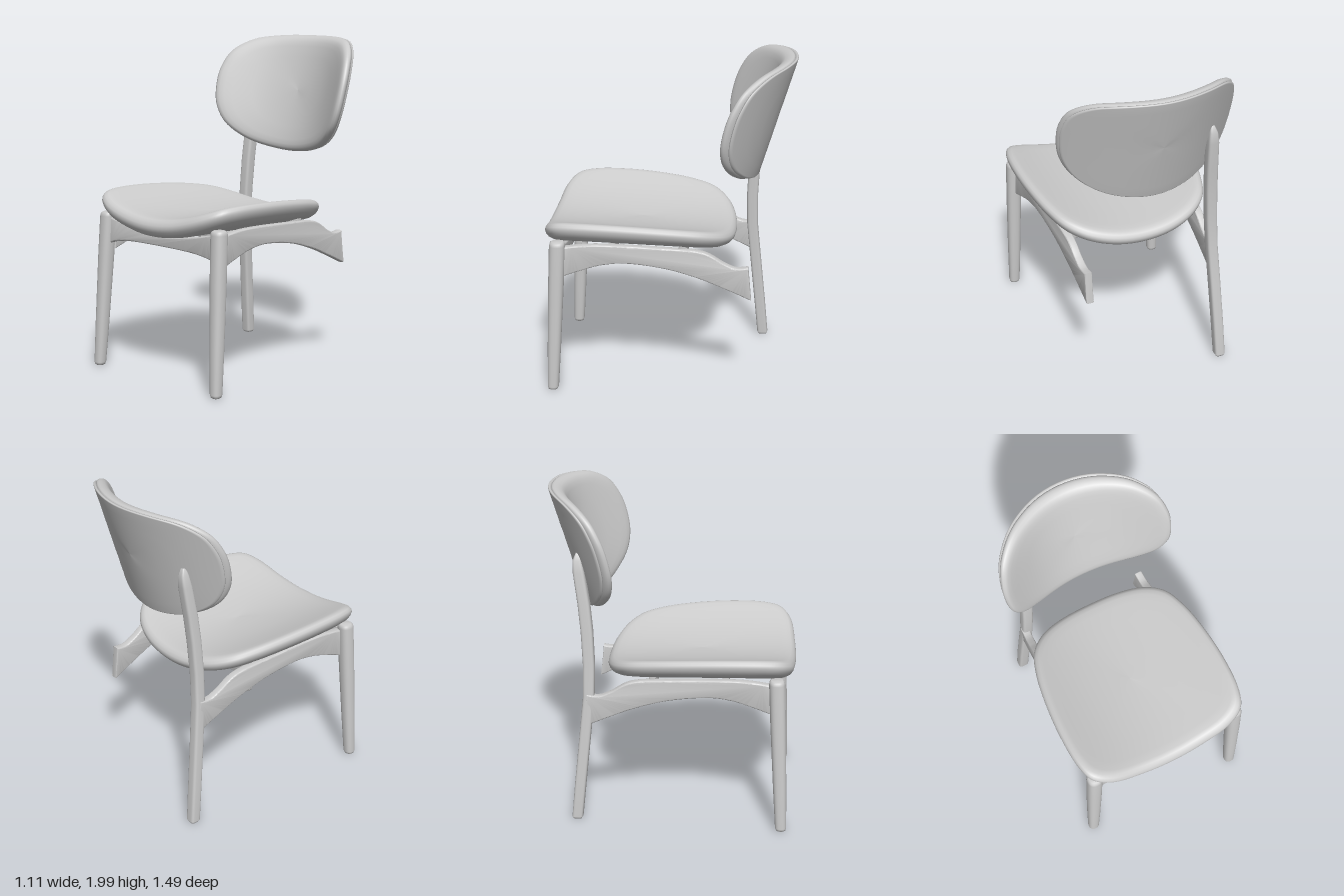
import * as THREE from 'three';
import { toCreasedNormals } from 'three/addons/utils/BufferGeometryUtils.js';

const paleGrey = new THREE.MeshStandardMaterial({ color: 0xcccccc });

// Skin a list of rings (each a closed loop of Vector3, counter-clockwise about the loft direction)
function loft(rings) {
  const n = rings[0].length, index = [];
  for (let r = 0; r < rings.length - 1; r++) {
    for (let i = 0; i < n; i++) {
      const j = (i + 1) % n, a = r * n + i, b = r * n + j;
      index.push(a, b, b + n, a, b + n, a + n);
    }
  }
  const geo = new THREE.BufferGeometry().setFromPoints(rings.flat());
  geo.setIndex(index);
  geo.computeVertexNormals();
  return geo;
}

// Mirror half an outline (bottom to top, x >= 0) and smooth it into a closed loop
function outline(half) {
  const other = half.slice(1, -1).reverse().map(([x, y]) => [-x, y]);
  const pts = [...half, ...other].map(([x, y]) => new THREE.Vector3(x, y, 0));
  return new THREE.CatmullRomCurve3(pts, true).getPoints(112).slice(0, -1);
}

// Padded slab: profile of [outline scale, height], bent into place by a rule
function pad(loop, centreY, profile, place) {
  return loft(profile.map(([s, t]) =>
    loop.map(p => place(p.x * s, centreY + (p.y - centreY) * s, t))));
}

// Leg through [x, y, z, halfWidth] stations; power 2 is round, higher is squarer
function leg(stations, power) {
  const n = 28, e = 2 / power;
  const soft = v => Math.sign(v) * Math.pow(Math.abs(v), e);
  return loft(stations.map(([x, y, z, r]) => Array.from({ length: n }, (_, i) => {
    const a = (i / n) * Math.PI * 2;
    return new THREE.Vector3(x + r * soft(Math.cos(a)), y, z - r * soft(Math.sin(a)));
  })));
}

// Board cut between a lower and an upper curve, with softened edges
function board(lower, upper, thickness) {
  const v = list => list.map(([x, y]) => new THREE.Vector2(x, y));
  const shape = new THREE.Shape();
  shape.moveTo(...lower[0]);
  shape.splineThru(v(lower.slice(1)));
  shape.lineTo(...upper[0]);
  shape.splineThru(v(upper.slice(1)));
  const bevel = 0.008;
  const geo = new THREE.ExtrudeGeometry(shape, {
    depth: thickness - 2 * bevel, curveSegments: 24, bevelEnabled: true,
    bevelSize: bevel, bevelThickness: bevel, bevelOffset: -bevel, bevelSegments: 3,
  });
  geo.translate(0, 0, bevel - thickness / 2);
  return toCreasedNormals(geo, 0.6);
}

export function createModel() {
  const chair = new THREE.Group();
  chair.name = 'chair';
  const add = (name, geo) => {
    const mesh = new THREE.Mesh(geo, paleGrey);
    mesh.name = name;
    chair.add(mesh);
    return mesh;
  };

  // Seat: rounded slab, dished from side to side (outline y is -z)
  const seatLoop = outline([
    [0, -0.745], [0.2, -0.738], [0.4, -0.715], [0.5, -0.66], [0.54, -0.56], [0.555, -0.35],
    [0.54, -0.1], [0.505, 0.1], [0.45, 0.24], [0.35, 0.33], [0.2, 0.383], [0, 0.4],
  ]);
  const seatProfile = [
    [0, 0], [0.25, 0], [0.5, 0], [0.7, 0], [0.87, 0], [0.92, 0.03], [0.965, 0.15], [0.99, 0.32],
    [1, 0.5], [0.995, 0.66], [0.975, 0.83], [0.945, 0.94], [0.9, 0.99],
    [0.82, 1], [0.65, 1], [0.45, 1], [0.22, 1], [0, 1],
  ];
  add('seat', pad(seatLoop, -0.17, seatProfile, (x, v, t) =>
    new THREE.Vector3(x, 0.862 - 0.02 * v + 0.45 * x * x + t * (0.106 - 0.012 * v), -v)));

  // Backrest: thin shell with a cushion in front, leaning back and wrapping forward
  const backLoop = outline([
    [0, 1.277], [0.2, 1.3], [0.34, 1.35], [0.45, 1.435], [0.513, 1.55], [0.535, 1.69],
    [0.528, 1.8], [0.49, 1.9], [0.4, 1.967], [0.25, 1.994], [0, 2],
  ]);
  const wrap = (x, y, t) => new THREE.Vector3(x, y, -0.53 - 0.305 * (y - 1.28) + 0.88 * x * x + t);
  const inner = [0, 0.2, 0.4, 0.6, 0.8];
  const flat = t => inner.map(s => [s, t]);
  add('backrestShell', pad(backLoop, 1.66, [
    ...flat(0), [0.97, 0], [0.985, 0.003], [0.99, 0.01], [0.985, 0.018], [0.95, 0.02],
    ...flat(0.02).reverse(),
  ], wrap));
  add('backrestCushion', pad(backLoop, 1.66, [
    ...flat(0.018), [0.95, 0.018], [0.98, 0.02], [0.995, 0.03], [1, 0.042], [0.99, 0.06],
    [0.965, 0.077], [0.93, 0.088], [0.88, 0.094], ...flat(0.099).reverse(),
  ], wrap));

  // Front legs: round, tapered and slightly splayed
  for (const [name, topX, footX] of [['frontLegLeft', 0.472, 0.49], ['frontLegRight', -0.475, -0.522]]) {
    const at = (y, r) => {
      const k = y / 0.965;
      return [THREE.MathUtils.lerp(footX, topX, k), y, THREE.MathUtils.lerp(0.68, 0.633, k), r];
    };
    add(name, leg([
      at(0.008, 0), at(0.009, 0.02), at(0.015, 0.029), at(0.03, 0.034), at(0.3, 0.04), at(0.7, 0.046),
      at(0.94, 0.047), at(0.958, 0.043), at(0.965, 0.034), at(0.966, 0),
    ], 2.4));
  }

  // Single rear leg, kinked at the seat and running up behind the backrest
  add('rearLegRight', leg([
    [-0.445, 0.008, -0.56, 0], [-0.445, 0.009, -0.56, 0.026], [-0.444, 0.022, -0.559, 0.033],
    [-0.433, 0.25, -0.537, 0.034], [-0.416, 0.55, -0.506, 0.034], [-0.4, 0.8, -0.481, 0.034],
    [-0.388, 1, -0.478, 0.035], [-0.376, 1.2, -0.487, 0.036], [-0.366, 1.37, -0.503, 0.036],
    [-0.355, 1.56, -0.53, 0.034], [-0.351, 1.63, -0.538, 0.026], [-0.348, 1.67, -0.535, 0.012],
    [-0.348, 1.672, -0.535, 0],
  ], 4));

  // Arched side rails, converging towards the rear (board x is -z)
  for (const [name, side, rearX] of [['sideRailLeft', 1, 0.4], ['sideRailRight', -1, 0.412]]) {
    const geo = board(
      [[-0.62, 0.738], [-0.5, 0.782], [-0.37, 0.82], [-0.22, 0.832], [0, 0.803], [0.2, 0.745],
        [0.38, 0.67], [0.51, 0.61]],
      [[0.49, 0.818], [0.42, 0.812], [0.35, 0.84], [0.22, 0.91], [0, 0.93], [-0.4, 0.945], [-0.62, 0.925]],
      0.048);
    geo.rotateY(Math.PI / 2);
    const pos = geo.attributes.position;
    for (let i = 0; i < pos.count; i++) {
      const k = (pos.getZ(i) + 0.5) / 1.12;
      pos.setX(i, pos.getX(i) + side * THREE.MathUtils.lerp(rearX, 0.455, k));
    }
    add(name, toCreasedNormals(geo, 0.6));
  }

  // Front rail and two bearers under the seat, all dished to follow it
  for (const [name, z, w, endY, midY, thickness] of [
    ['frontRail', 0.625, 0.45, 0.775, 0.815, 0.055],
    ['frontBearer', 0.33, 0.44, 0.83, 0.835, 0.04],
    ['rearBearer', -0.1, 0.42, 0.82, 0.83, 0.04],
  ]) {
    const rail = add(name, board(
      [[-w, endY], [-w + 0.06, midY - 0.02], [-0.25, midY - 0.004], [0, midY], [0.25, midY - 0.004],
        [w - 0.06, midY - 0.02], [w, endY]],
      [[w, 0.94], [0.25, 0.9], [0, 0.877], [-0.25, 0.9], [-w, 0.94]],
      thickness));
    rail.position.z = z;
  }

  return chair;
}
